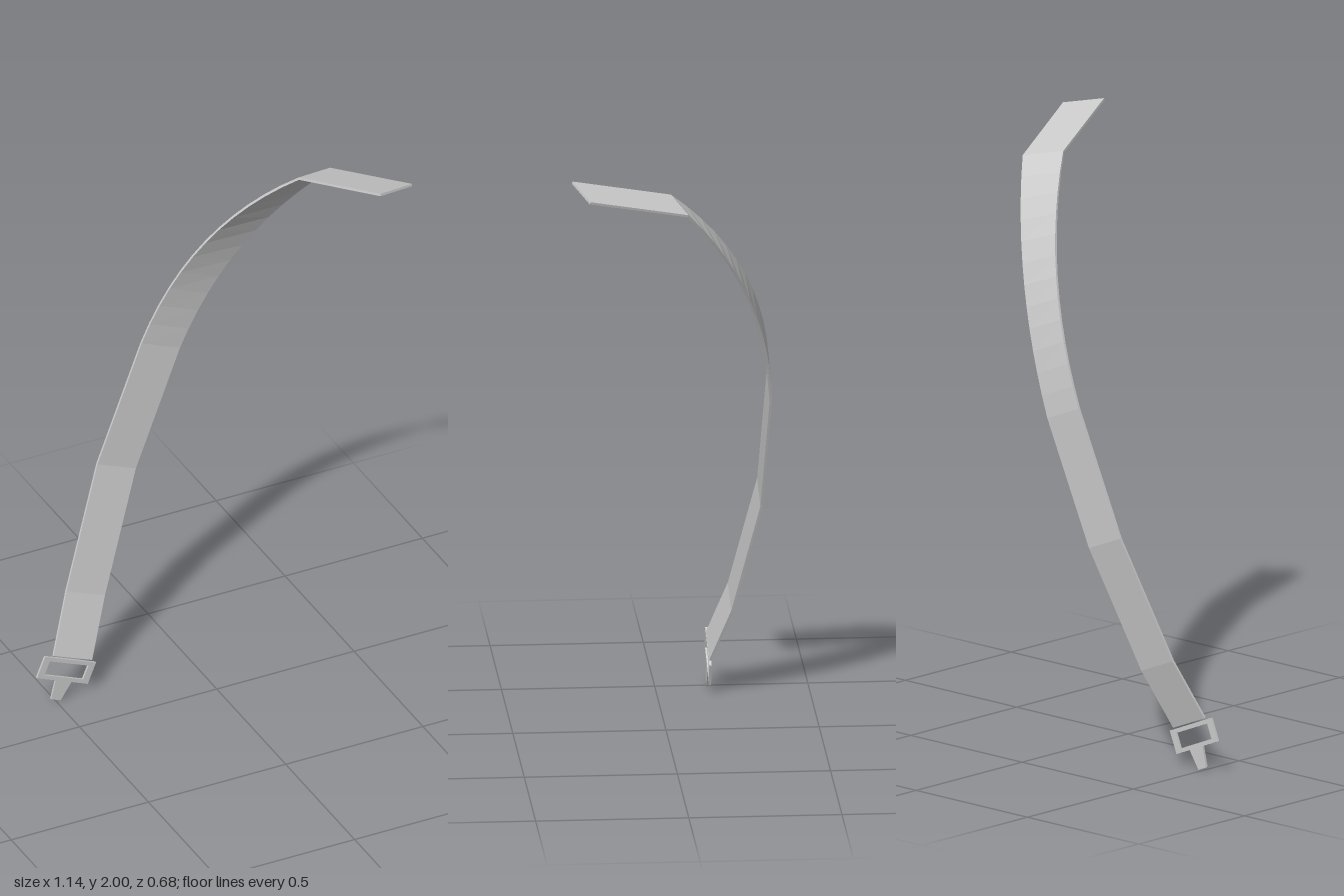
import * as THREE from 'three';

const THICK = 0.008;
const V = (x, y, z) => new THREE.Vector3(x, y, z);

// Edge of the strap: straight folds, a smooth bend, then the flat end tab
function edge(folds, control, bendEnd, tip) {
  const start = folds[folds.length - 1];
  const bend = new THREE.QuadraticBezierCurve3(start, control, bendEnd);
  return [...folds, ...bend.getPoints(12).slice(1), tip];
}

// A box whose rows of vertices follow the two strap edges
function strapGeometry(left, right) {
  const n = left.length - 1;
  const mid = left.map((p, i) => p.clone().lerp(right[i], 0.5));
  const normals = mid.map((_, i) => {
    const along = mid[Math.min(i + 1, n)].clone().sub(mid[Math.max(i - 1, 0)]);
    return right[i].clone().sub(left[i]).cross(along).normalize();
  });
  const geometry = new THREE.BoxGeometry(1, 1, 1, 1, n, 1);
  const pos = geometry.attributes.position;
  for (let k = 0; k < pos.count; k++) {
    const i = Math.round((pos.getY(k) + 0.5) * n);
    const p = (pos.getX(k) < 0 ? left : right)[i].clone();
    p.addScaledVector(normals[i], pos.getZ(k) * THICK);
    pos.setXYZ(k, p.x, p.y, p.z);
  }
  geometry.computeVertexNormals();
  return geometry;
}

export function createModel() {
  const model = new THREE.Group();
  const material = new THREE.MeshStandardMaterial({ color: 0xcccccc, flatShading: true });

  // Strap
  const leftFolds = [
    V(-0.51, 0.18, -0.172), V(-0.43, 0.37, -0.238),
    V(-0.275, 0.77, -0.322), V(-0.105, 1.18, -0.34),
  ];
  const across = V(0.14, -0.057, 0);
  const rightFolds = leftFolds.map((p) => p.clone().add(across));
  const left = edge(leftFolds, V(0.07, 1.6, -0.33), V(0.295, 1.905, 0.007), V(0.427, 1.996, 0.338));
  const right = edge(rightFolds, V(0.205, 1.54, -0.32), V(0.433, 1.875, -0.04), V(0.566, 1.966, 0.29));
  const strap = new THREE.Mesh(strapGeometry(left, right), material);
  strap.name = 'strap';
  model.add(strap);

  // Buckle: slotted frame with a tapering tongue
  const outline = new THREE.Shape([
    [-0.1, 0.04], [-0.1, -0.04], [-0.026, -0.04], [-0.015, -0.11],
    [0.022, -0.11], [0.036, -0.04], [0.1, -0.04], [0.1, 0.04],
  ].map(([x, y]) => new THREE.Vector2(x, y)));
  outline.holes.push(new THREE.Path([
    [-0.076, -0.026], [-0.076, 0.026], [0.076, 0.026], [0.076, -0.026],
  ].map(([x, y]) => new THREE.Vector2(x, y))));
  const buckle = new THREE.Mesh(
    new THREE.ExtrudeGeometry(outline, { depth: THICK, bevelEnabled: false }), material);
  buckle.name = 'buckle';
  buckle.position.set(-0.463, 0.111, -0.172 - THICK / 2);
  buckle.rotation.z = -0.39;
  model.add(buckle);

  return model;
}
